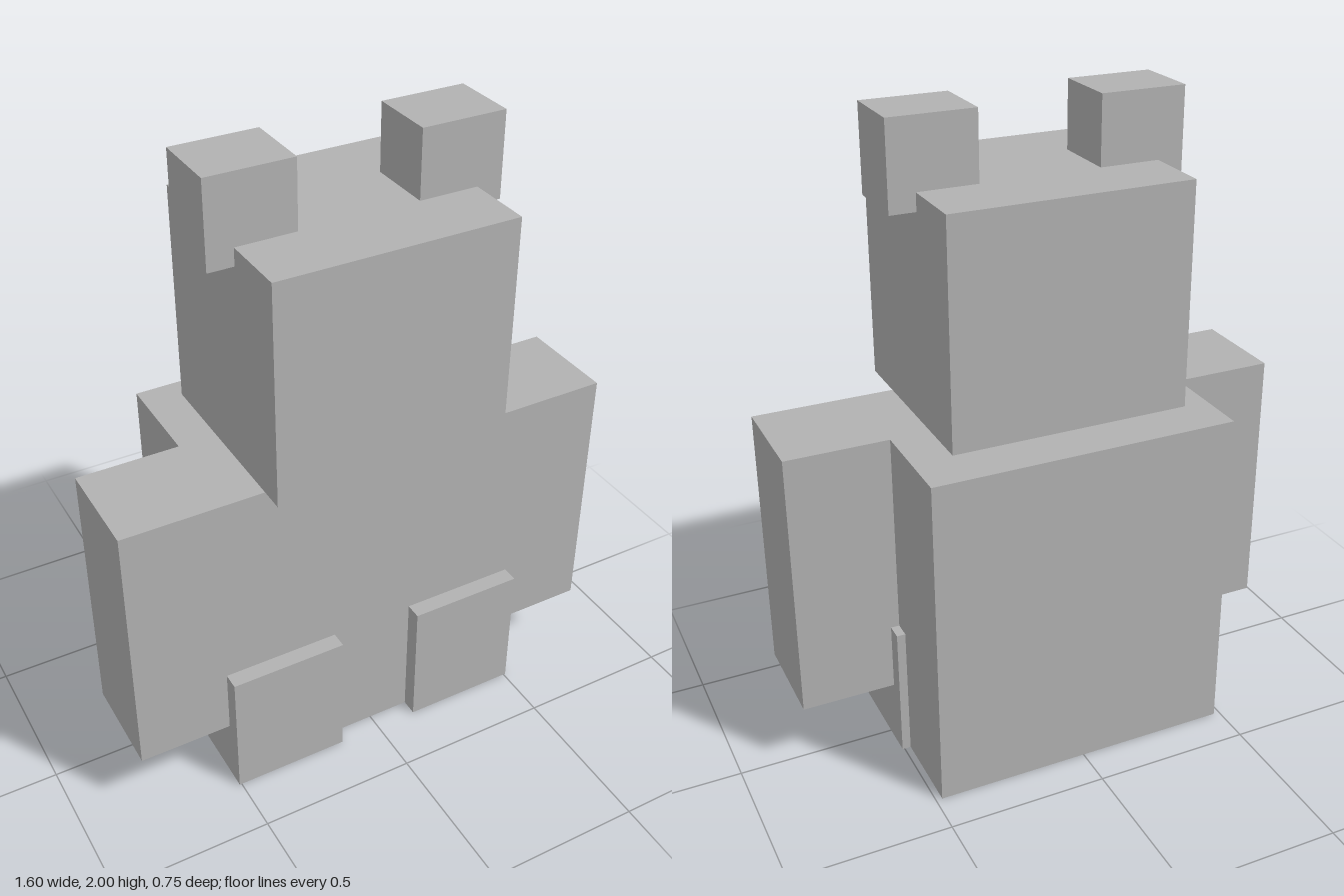
import * as THREE from 'three';

export function createModel() {
  const model = new THREE.Group();
  model.name = 'blockyBear';

  const grey = new THREE.MeshStandardMaterial({ color: 0xb2b2b2 });
  grey.name = 'grey';

  // Box given by its extents on each axis
  function block(name, [x0, x1], [y0, y1], [z0, z1]) {
    const mesh = new THREE.Mesh(new THREE.BoxGeometry(x1 - x0, y1 - y0, z1 - z0), grey);
    mesh.position.set((x0 + x1) / 2, (y0 + y1) / 2, (z0 + z1) / 2);
    mesh.name = name;
    model.add(mesh);
  }

  // The same box on both sides; the left is +x
  function pair(name, [x0, x1], y, z) {
    block('left' + name, [x0, x1], y, z);
    block('right' + name, [-x1, -x0], y, z);
  }

  // Torso, and the head floating just above it
  block('body', [-0.48, 0.48], [0, 1.07], [-0.373, 0.267]);
  block('head', [-0.373, 0.373], [1.095, 1.79], [-0.267, 0.373]);

  // Paired limbs and ears
  pair('Arm', [0.48, 0.8], [0.215, 1.07], [-0.053, 0.267]);
  pair('Leg', [0.135, 0.507], [0, 0.43], [-0.105, 0.32]);
  pair('Ear', [0.187, 0.453], [1.735, 2], [-0.053, 0.16]);

  return model;
}
